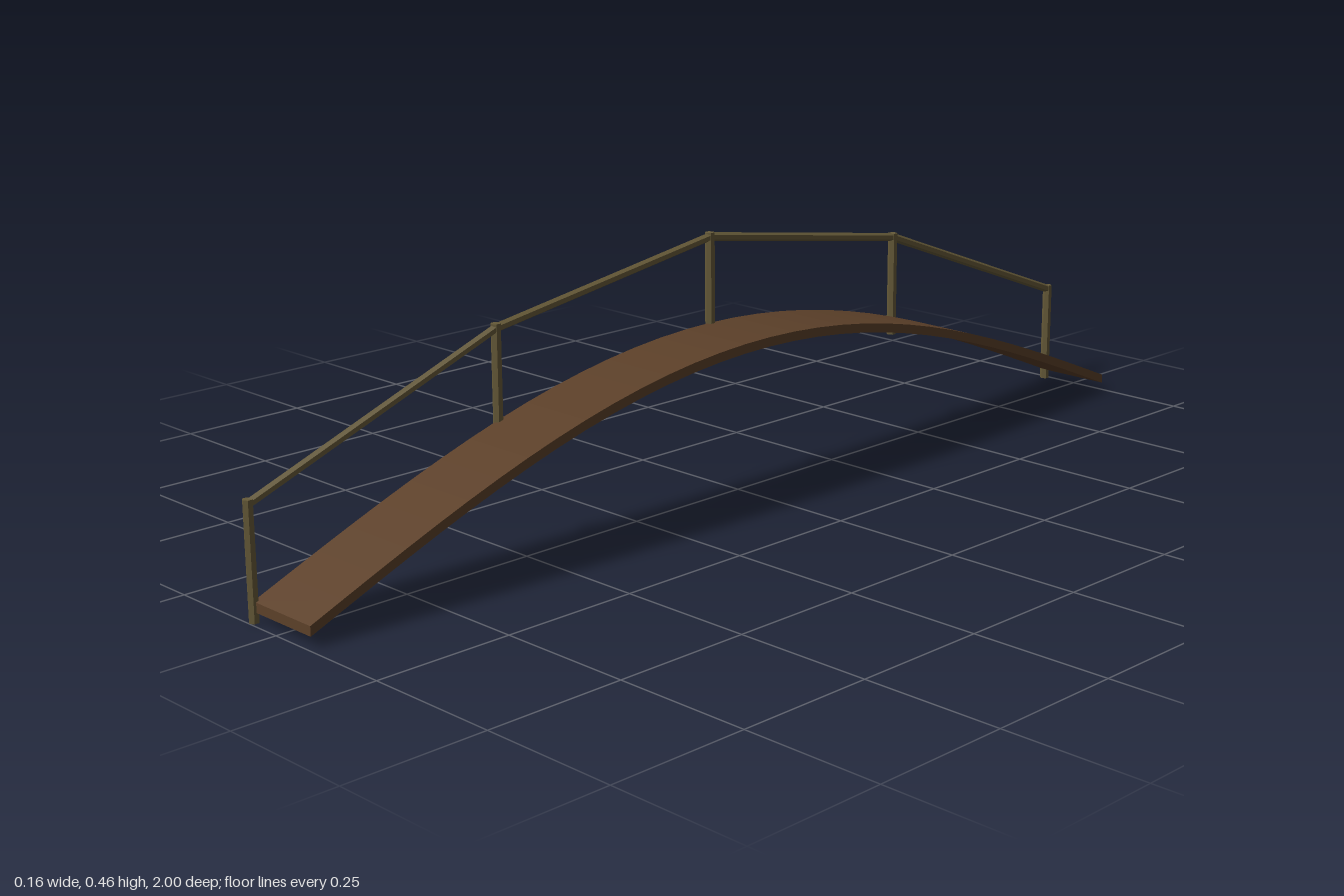
import * as THREE from 'three';

const HALF = 0.991;      // half of the span along z
const RISE = 0.263;      // height of the arch
const EDGE_X = -0.07;    // side that carries the railing
const DECK_WIDTH = 0.148;
const THICK = 0.017;

const arch = z => RISE * Math.cos((z / HALF) * Math.PI / 2);

// Six-sided bar between two points
function bar(a, b, radius, material, name) {
  const dir = b.clone().sub(a);
  const mesh = new THREE.Mesh(new THREE.CylinderGeometry(radius, radius, dir.length(), 6), material);
  mesh.position.copy(a).add(b).multiplyScalar(0.5);
  mesh.quaternion.setFromUnitVectors(new THREE.Vector3(0, 1, 0), dir.normalize());
  mesh.name = name;
  return mesh;
}

export function createModel() {
  const bridge = new THREE.Group();
  bridge.name = 'footbridge';
  const deckWood = new THREE.MeshStandardMaterial({ color: 0x5c4029, flatShading: true });
  const railWood = new THREE.MeshStandardMaterial({ color: 0x665a38, flatShading: true });

  // Arched deck: thin curved strip, drawn in the side plane and extruded across the width
  const steps = 32, top = [], bottom = [];
  for (let i = 0; i <= steps; i++) {
    const z = -HALF + (2 * HALF * i) / steps;
    const y = 0.026 + arch(z);
    bottom.push(new THREE.Vector2(z, y - THICK / 2));
    top.unshift(new THREE.Vector2(z, y + THICK / 2));
  }
  const deckGeo = new THREE.ExtrudeGeometry(new THREE.Shape([...bottom, ...top]),
    { depth: DECK_WIDTH, bevelEnabled: false });
  deckGeo.rotateY(-Math.PI / 2); // profile runs along z, extrusion along -x
  deckGeo.translate(EDGE_X + DECK_WIDTH, 0, 0);
  const deck = new THREE.Mesh(deckGeo, deckWood);
  deck.name = 'deck';
  bridge.add(deck);

  // Railing on one side: five posts joined by straight handrails
  const railing = new THREE.Group();
  railing.name = 'railing';
  let previous = null;
  for (let i = 0; i < 5; i++) {
    const z = HALF * (i / 2 - 1);
    const base = new THREE.Vector3(EDGE_X, arch(z), z);
    const head = base.clone().setY(base.y + 0.2);
    railing.add(bar(base, head, 0.009, railWood, 'post'));
    const joint = head.clone().setY(head.y - 0.008);
    if (previous) railing.add(bar(previous, joint, 0.008, railWood, 'handrail'));
    previous = joint;
  }
  bridge.add(railing);
  return bridge;
}
